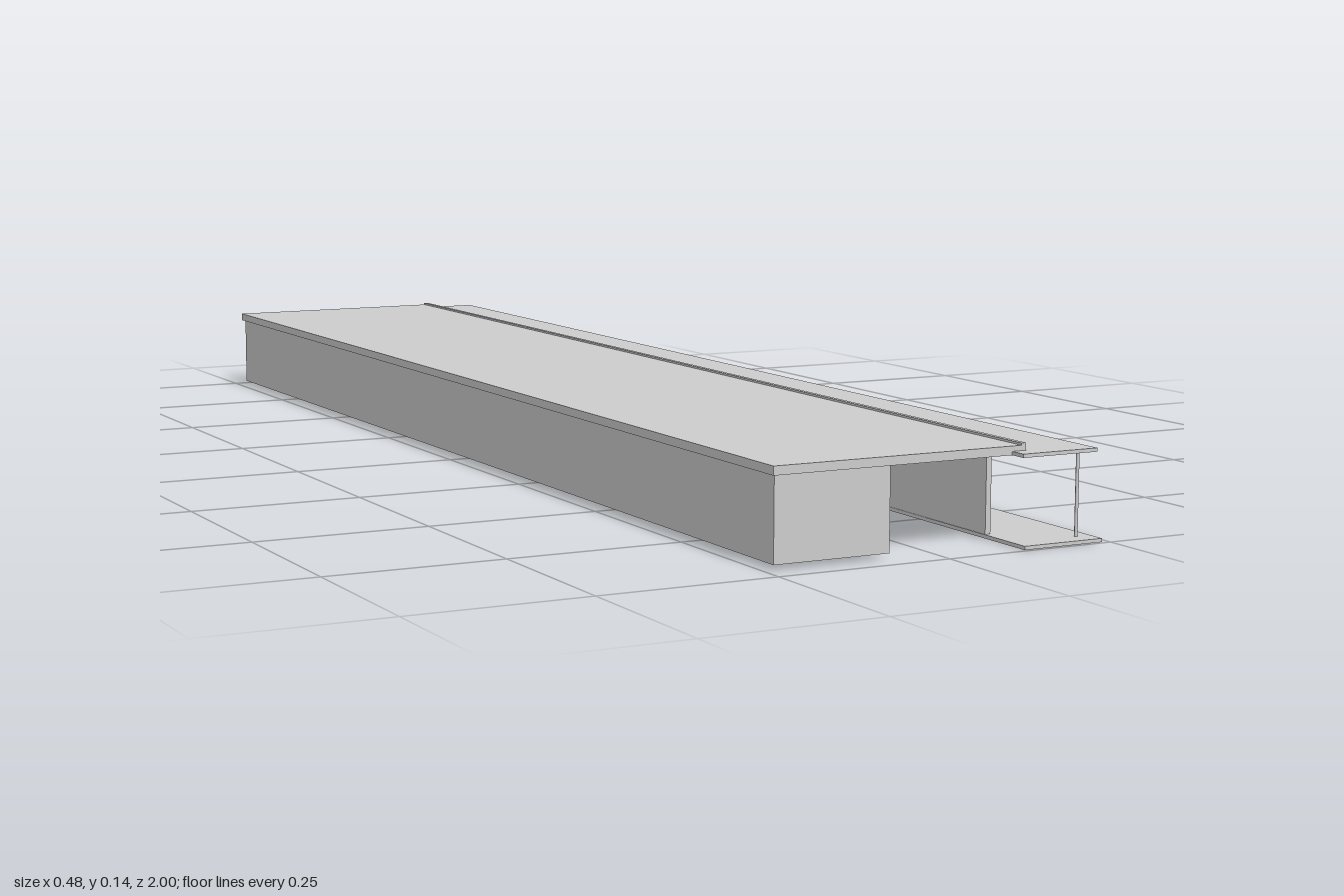
import * as THREE from 'three';

export function createModel() {
  const model = new THREE.Group();
  model.name = 'longBuilding';
  const grey = new THREE.MeshStandardMaterial({ color: 0xcccccc });
  grey.name = 'pale grey';

  // Box given by its minimum and maximum on each axis
  function block(name, [x0, x1], [y0, y1], [z0, z1], parent = model) {
    const mesh = new THREE.Mesh(new THREE.BoxGeometry(x1 - x0, y1 - y0, z1 - z0), grey);
    mesh.position.set((x0 + x1) / 2, (y0 + y1) / 2, (z0 + z1) / 2);
    mesh.name = name;
    parent.add(mesh);
    return mesh;
  }

  function group(name) {
    const g = new THREE.Group();
    g.name = name;
    model.add(g);
    return g;
  }

  // Main volumes: the open-fronted hall lies between the rear block and the veranda wall
  block('rearBlock', [-0.237, -0.068], [0.007, 0.12], [-0.977, 0.965]);
  block('endWall', [-0.068, 0.127], [0.005, 0.12], [-0.977, -0.969]);
  block('mainRoof', [-0.241, 0.13], [0.12, 0.132], [-0.985, 0.97]);
  block('roofLip', [0.127, 0.134], [0.124, 0.135], [-0.985, 0.97]);

  // Veranda
  block('verandaFloor', [0.118, 0.24], [0, 0.005], [-1, 0.995]);
  block('roomFloor', [-0.058, 0.118], [0, 0.005], [-0.969, -0.73]);
  block('verandaRoof', [0.113, 0.229], [0.12, 0.125], [-1, 0.995]);

  // Long veranda wall with an open doorway
  const outline = new THREE.Shape();
  outline.moveTo(-0.745, 0.005);
  outline.lineTo(0.34, 0.005);
  outline.lineTo(0.34, 0.09);
  outline.lineTo(0.38, 0.09);
  outline.lineTo(0.38, 0.005);
  outline.lineTo(0.905, 0.005);
  outline.lineTo(0.905, 0.12);
  outline.lineTo(-0.745, 0.12);
  const wallGeo = new THREE.ExtrudeGeometry(outline, { depth: 0.008, bevelEnabled: false });
  wallGeo.rotateY(-Math.PI / 2);
  const wall = new THREE.Mesh(wallGeo, grey);
  wall.name = 'verandaWall';
  wall.position.x = 0.127;
  model.add(wall);

  // Recessed entrance at the far end
  block('crossWall', [-0.068, 0.119], [0.005, 0.12], [-0.738, -0.73]);
  block('recessWall', [0.068, 0.076], [0.005, 0.12], [-0.865, -0.738]);
  block('endPier', [0.068, 0.127], [0.005, 0.12], [-0.969, -0.865]);
  const hatch = group('entranceWindow');
  block('sill', [0.076, 0.082], [0.034, 0.038], [-0.85, -0.765], hatch);
  block('head', [0.076, 0.082], [0.09, 0.094], [-0.85, -0.765], hatch);
  for (const z of [-0.85, -0.769]) block('jamb', [0.076, 0.082], [0.038, 0.09], [z, z + 0.004], hatch);
  block('noticeBoard', [0.127, 0.13], [0.05, 0.095], [-0.92, -0.868]);
  block('entranceDoor', [0.127, 0.129], [0.005, 0.05], [-0.92, -0.868]);

  // Barred windows with a vent box below each
  for (let i = 0; i < 8; i++) {
    const z = 0.85 - i * 0.203;
    const w = group('barredWindow');
    for (const y of [0.038, 0.083]) block('rail', [0.127, 0.132], [y, y + 0.003], [z - 0.03, z + 0.03], w);
    for (let b = 0; b < 7; b++) {
      const bz = z - 0.029 + b * 0.0092;
      block('bar', [0.127, 0.131], [0.041, 0.083], [bz, bz + 0.003], w);
    }
    block('vent', [0.127, 0.134], [0.014, 0.027], [z - 0.011, z + 0.011], w);
  }

  // Wall lamps and narrow pipes
  for (let i = 0; i < 8; i++) {
    const z = 0.765 - i * 0.203;
    const lamp = group('wallLamp');
    block('bracket', [0.127, 0.131], [0.086, 0.095], [z - 0.003, z + 0.003], lamp);
    block('shade', [0.127, 0.136], [0.094, 0.098], [z - 0.018, z + 0.018], lamp);
  }
  for (const z of [0.175, -0.045, -0.245, -0.31, -0.52]) {
    block('wallPipe', [0.127, 0.13], [0.005, 0.12], [z - 0.002, z + 0.002]);
  }

  // Slim posts carrying the veranda roof
  const postZ = [-0.975];
  for (let i = 0; i < 9; i++) postZ.push(0.968 - i * 0.203);
  for (const z of postZ) {
    const post = new THREE.Mesh(new THREE.CylinderGeometry(0.0023, 0.0023, 0.115, 8), grey);
    post.position.set(0.218, 0.0625, z);
    post.name = 'verandaPost';
    model.add(post);
  }
  return model;
}
